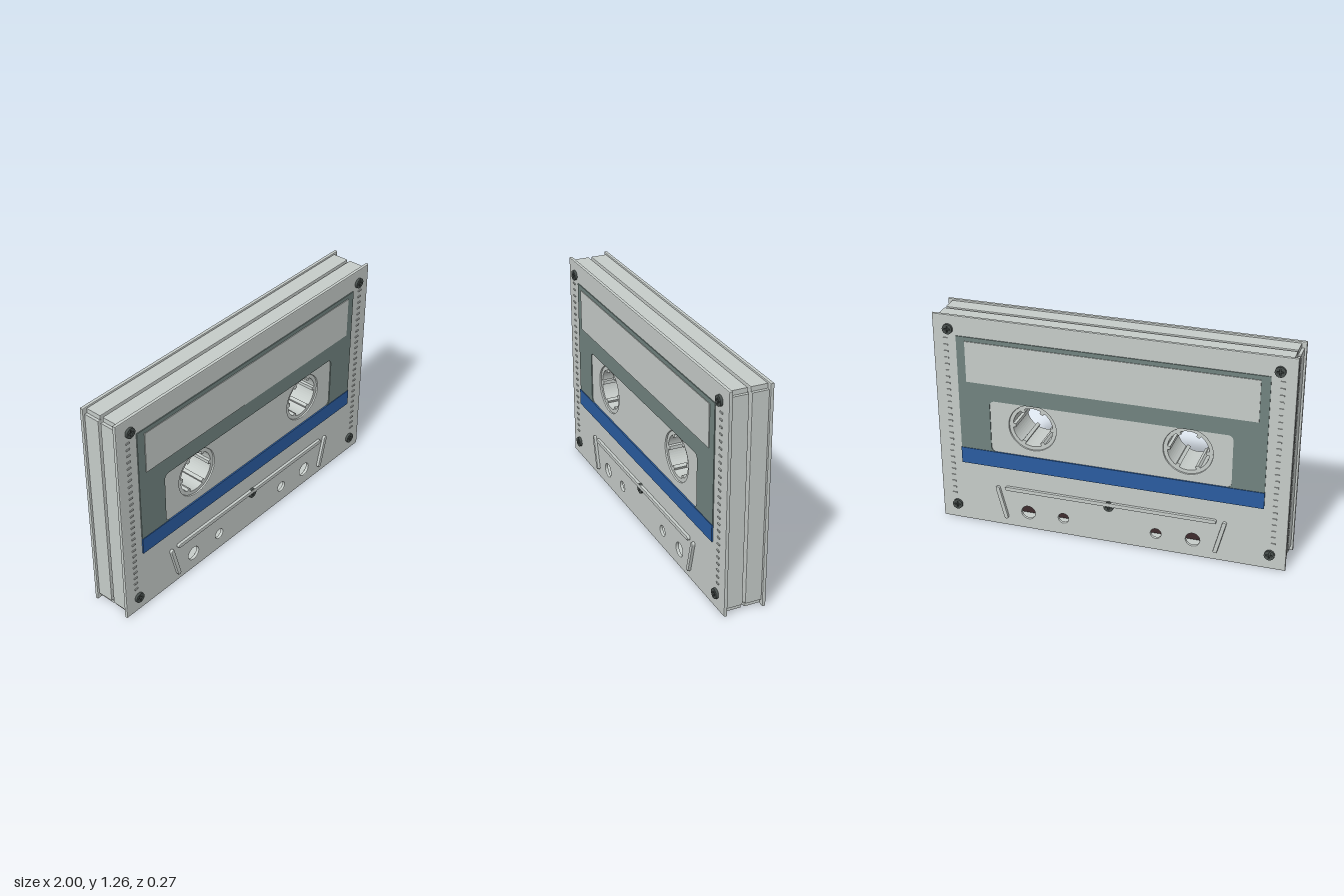
import * as THREE from 'three';

const mat = (name, color) => {
  const m = new THREE.MeshStandardMaterial({ color });
  m.name = name;
  return m;
};

export function createModel() {
  const shellGrey = mat('shell grey', 0xc6ccc9);
  const slate = mat('slate label', 0x71837f);
  const blue = mat('blue stripe', 0x2a5ca0);
  const tapeBrown = mat('tape brown', 0x3e2c2e);
  const screwDark = mat('screw dark', 0x49504e);

  const model = new THREE.Group();
  model.name = 'cassette';

  const add = (parent, name, geo, material, x = 0, y = 0, z = 0) => {
    const m = new THREE.Mesh(geo, material);
    m.name = name;
    m.position.set(x, y, z);
    parent.add(m);
    return m;
  };
  const box = (parent, name, material, x0, x1, y0, y1, z0, z1) =>
    add(parent, name, new THREE.BoxGeometry(x1 - x0, y1 - y0, z1 - z0), material,
      (x0 + x1) / 2, (y0 + y1) / 2, (z0 + z1) / 2);
  const extrude = (shape, depth, bevel = 0) => {
    const g = new THREE.ExtrudeGeometry(shape, {
      depth: depth - 2 * bevel, bevelEnabled: bevel > 0, bevelSize: bevel,
      bevelThickness: bevel, bevelOffset: -bevel, bevelSegments: 2, curveSegments: 24,
    });
    return g.translate(0, 0, bevel);
  };

  // Rectangle outline with optional rounded corners
  const rect = (x0, x1, y0, y1, r = 0, Type = THREE.Shape) => {
    const s = new Type();
    if (!r) {
      s.moveTo(x0, y0).lineTo(x1, y0).lineTo(x1, y1).lineTo(x0, y1).closePath();
      return s;
    }
    s.absarc(x1 - r, y0 + r, r, -Math.PI / 2, 0);
    s.absarc(x1 - r, y1 - r, r, 0, Math.PI / 2);
    s.absarc(x0 + r, y1 - r, r, Math.PI / 2, Math.PI);
    s.absarc(x0 + r, y0 + r, r, Math.PI, Math.PI * 1.5);
    s.closePath();
    return s;
  };
  const hole = (x, y, r) => new THREE.Path().absarc(x, y, r, 0, Math.PI * 2, true);

  const HUB_X = 0.44, HUB_Y = 0.645;

  // Screw head with a cross-shaped recess
  const crossHole = new THREE.Path();
  const a = 0.004, b = 0.018;
  crossHole.setFromPoints([[a, a], [a, b], [-a, b], [-a, a], [-b, a], [-b, -a],
    [-a, -a], [-a, -b], [a, -b], [a, -a], [b, -a], [b, a]].map(p => new THREE.Vector2(...p)));
  const headShape = new THREE.Shape().absarc(0, 0, 0.029, 0, Math.PI * 2);
  headShape.holes.push(crossHole);
  const headGeo = extrude(headShape, 0.014);
  const seatGeo = new THREE.CylinderGeometry(0.029, 0.029, 0.008, 32).rotateX(Math.PI / 2);

  // One half of the cassette, facing +z
  const makeHalf = (name) => {
    const half = new THREE.Group();
    half.name = name;

    // Face plate with hub and guide holes
    const face = rect(-1, 1, 0, 1.26);
    for (const s of [-1, 1]) {
      face.holes.push(hole(s * HUB_X, HUB_Y, 0.137));
      face.holes.push(hole(s * 0.48, 0.102, 0.04), hole(s * 0.27, 0.102, 0.03));
    }
    add(half, 'facePlate', extrude(face, 0.02, 0.005), shellGrey, 0, 0, 0.1);

    // Side walls: inner rim with a raised panel on each edge
    const rim = rect(-0.972, 0.972, 0.025, 1.235);
    rim.holes.push(rect(-0.945, 0.945, 0.05, 1.21, 0, THREE.Path));
    add(half, 'innerRim', extrude(rim, 0.092), shellGrey, 0, 0, 0.01);
    for (const s of [-1, 1]) {
      const wall = rect(-0.011, 0.011, 0.036, 1.225);
      add(half, 'sideWall', extrude(wall, 0.094, 0.004), shellGrey, s * 0.977, 0, 0.008);
    }
    for (const y of [0.019, 1.241]) {
      const wall = rect(-0.972, 0.972, -0.01, 0.01);
      add(half, 'edgeWall', extrude(wall, 0.094, 0.004), shellGrey, 0, y, 0.008);
    }

    // Slate label surround with an opening around the hubs
    const surround = rect(-0.865, 0.865, 0.372, 1.145);
    surround.holes.push(rect(-0.685, 0.685, 0.467, 0.78, 0.03, THREE.Path));
    add(half, 'labelSurround', extrude(surround, 0.006), slate, 0, 0, 0.119);
    box(half, 'titleLabel', shellGrey, -0.815, 0.815, 0.88, 1.12, 0.122, 0.129);
    box(half, 'colourStripe', blue, -0.866, 0.866, 0.372, 0.468, 0.121, 0.129);

    // Raised ribs around the tape opening
    const rib = (nm, x0, y0, x1, y1) => {
      const len = Math.hypot(x1 - x0, y1 - y0) / 2 + 0.011;
      const g = extrude(rect(-len, len, -0.012, 0.012, 0.0119), 0.02, 0.004);
      add(half, nm, g, shellGrey, (x0 + x1) / 2, (y0 + y1) / 2, 0.117)
        .rotation.z = Math.atan2(y1 - y0, x1 - x0);
    };
    rib('longRib', -0.6, 0.245, 0.6, 0.245);
    for (const s of [-1, 1]) rib('slantedRib', s * 0.61, 0.06, s * 0.656, 0.24);

    // Grip ticks along both sides
    for (const s of [-1, 1]) {
      for (let i = 0; i < 26; i++) {
        add(half, 'gripTick', new THREE.BoxGeometry(0.024, 0.008, 0.008), shellGrey,
          s * 0.926, 0.16 + i * 0.0385, 0.121);
      }
    }

    // Screws
    const spots = [[0, 0.232], [-0.91, 0.09], [0.91, 0.09], [-0.91, 1.18], [0.91, 1.18]];
    for (const [x, y] of spots) {
      add(half, 'screwHead', headGeo, screwDark, x, y, 0.12);
      add(half, 'screwSeat', seatGeo, screwDark, x, y, 0.119);
    }
    return half;
  };

  model.add(makeHalf('frontHalf'));
  const back = makeHalf('backHalf');
  back.rotation.y = Math.PI;
  model.add(back);

  // Hubs: rings with six inner teeth
  const hubShape = new THREE.Shape().absarc(0, 0, 0.137, 0, Math.PI * 2);
  const pts = [];
  for (let k = 0; k < 6; k++) {
    const c = k * Math.PI / 3;
    const polar = (r, t) => pts.push(new THREE.Vector2(r * Math.cos(t), r * Math.sin(t)));
    polar(0.1, c - 0.1);
    polar(0.1, c + 0.1);
    for (let j = 0; j <= 8; j++) polar(0.116, c + 0.1 + (Math.PI / 3 - 0.2) * j / 8);
  }
  hubShape.holes.push(new THREE.Path(pts));
  const hubGeo = extrude(hubShape, 0.22);

  // Tape packs, full on one side and nearly empty on the other
  for (const [s, r] of [[-1, 0.415], [1, 0.235]]) {
    add(model, 'hub', hubGeo, shellGrey, s * HUB_X, HUB_Y, -0.11);
    const pack = new THREE.Shape().absarc(0, 0, r, 0, Math.PI * 2);
    pack.holes.push(hole(0, 0, 0.13));
    add(model, 'tapePack', extrude(pack, 0.13), tapeBrown, s * HUB_X, HUB_Y, -0.065);

    // Guide roller in the lower corner
    add(model, 'guideRoller', new THREE.CylinderGeometry(0.057, 0.057, 0.14, 32).rotateX(Math.PI / 2),
      shellGrey, s * 0.82, 0.135, 0);
  }

  // Exposed tape run along the lower edge
  box(model, 'tapeRun', tapeBrown, -0.56, 0.56, 0.055, 0.124, -0.04, 0.04);

  return model;
}
